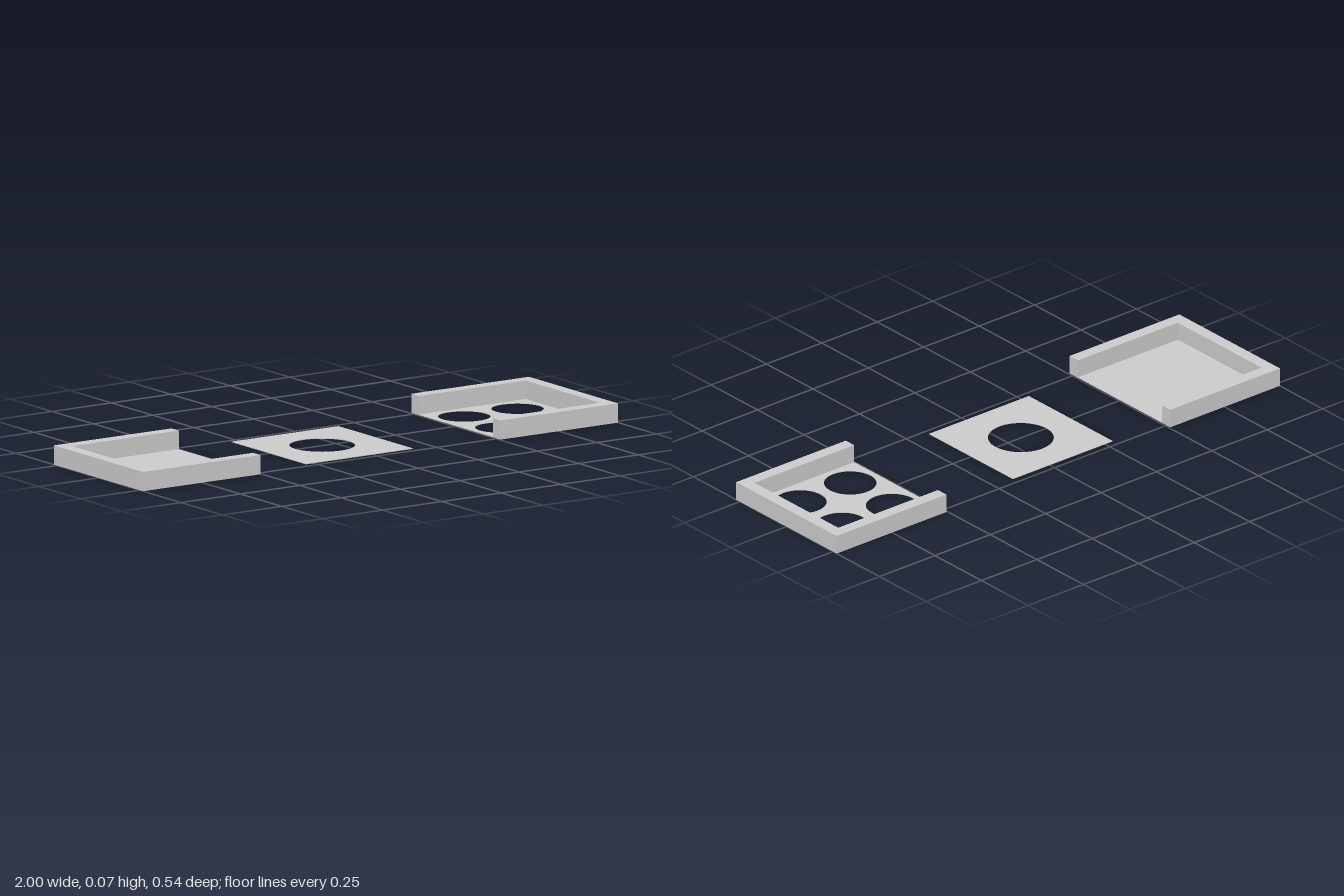
import * as THREE from 'three';

const INNER = 0.225;   // half size of the square inserts
const WALL = 0.045;    // rim width
const HEIGHT = 0.068;  // overall tray height
const SHEET = 0.0025;  // floor and plate thickness

const material = new THREE.MeshStandardMaterial({ color: 0xcccccc });

function polygon(points) {
  return new THREE.Shape(points.map(([x, y]) => new THREE.Vector2(x, y)));
}

function addHole(shape, x, y, radius) {
  shape.holes.push(new THREE.Path().absarc(x, y, radius, 0, Math.PI * 2, true));
}

// Extrudes a flat outline upward from height y
function slab(name, shape, y, thickness) {
  const geometry = new THREE.ExtrudeGeometry(shape, {
    depth: thickness, bevelEnabled: false, curveSegments: 32,
  });
  geometry.rotateX(-Math.PI / 2);
  geometry.translate(0, y, 0);
  const mesh = new THREE.Mesh(geometry, material);
  mesh.name = name;
  return mesh;
}

// Square tray with a three-sided rim, open toward -x
function tray(name, holes) {
  const group = new THREE.Group();
  group.name = name;
  const i = INNER, o = INNER + WALL;

  const floor = polygon([[-i, -o], [o, -o], [o, o], [-i, o]]);
  for (const [x, y] of holes) addHole(floor, x, y, 0.091);
  group.add(slab('trayFloor', floor, 0, SHEET));

  const rim = polygon([[-i, -o], [o, -o], [o, o], [-i, o], [-i, i], [i, i], [i, -i], [-i, -i]]);
  group.add(slab('trayRim', rim, SHEET, HEIGHT - SHEET));
  return group;
}

export function createModel() {
  const model = new THREE.Group();
  model.name = 'slidingTraySet';
  const offset = 1 - INNER - WALL;

  // Tray with four round openings
  const h = INNER / 2;
  const openTray = tray('fourHoleTray', [[-h, -h], [h, -h], [h, h], [-h, h]]);
  openTray.position.x = offset;

  // Solid tray, facing the other way
  const solidTray = tray('solidTray', []);
  solidTray.rotation.y = Math.PI;
  solidTray.position.x = -offset;

  // Thin loose plate with one round opening
  const plateShape = polygon([[-INNER, -INNER], [INNER, -INNER], [INNER, INNER], [-INNER, INNER]]);
  addHole(plateShape, 0, 0, 0.114);
  const plate = slab('centrePlate', plateShape, 0, SHEET);
  plate.position.x = -0.058;

  model.add(openTray, solidTray, plate);
  return model;
}
